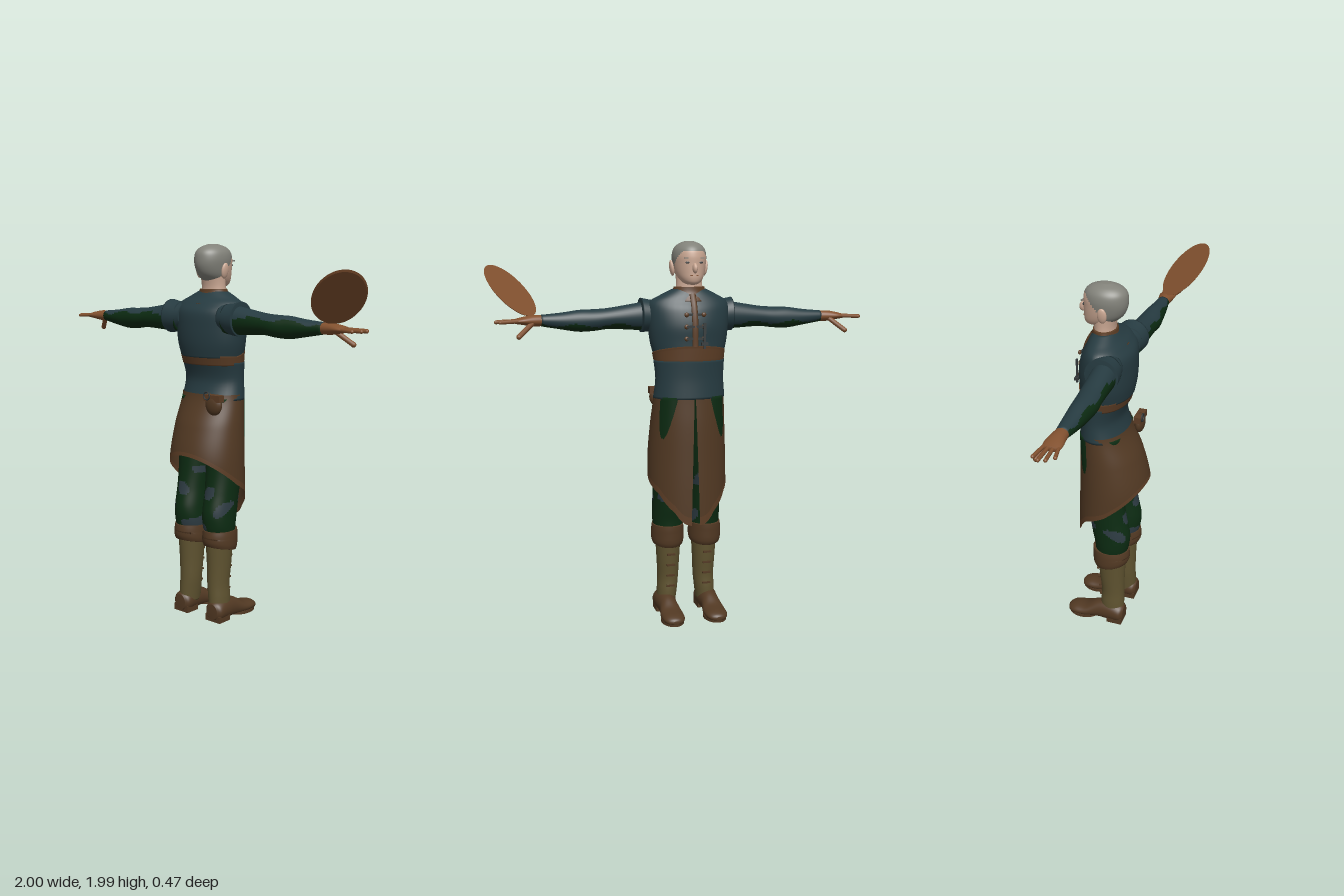
import * as THREE from 'three';
import { mergeVertices } from 'three/addons/utils/BufferGeometryUtils.js';

const mat = (name, color) => new THREE.MeshStandardMaterial({ name, color, side: THREE.DoubleSide });

// Smooth skin over a grid of points; pick(point, v) chooses a material index per face.
function surface(f, nu, nv, pick = () => 0) {
  const pts = [], faces = [[], [], []], row = nu + 1;
  for (let j = 0; j <= nv; j++) for (let i = 0; i <= nu; i++) pts.push(f(i / nu, j / nv));
  for (let j = 0; j < nv; j++) for (let i = 0; i < nu; i++) {
    const a = j * row + i, b = a + 1, c = a + row, d = c + 1;
    const mid = pts[a].clone().add(pts[d]).multiplyScalar(0.5);
    faces[pick(mid, (j + 0.5) / nv)].push(a, b, d, a, d, c);
  }
  let geo = new THREE.BufferGeometry().setFromPoints(pts);
  geo.setIndex(faces.flat());
  let start = 0;
  faces.forEach((list, k) => {
    if (list.length) geo.addGroup(start, list.length, k);
    start += list.length;
  });
  geo = mergeVertices(geo, 1e-5);
  geo.computeVertexNormals();
  return geo;
}

// Interpolate rows of numbers smoothly; t runs 0..1 over the rows.
function blend(rows, t) {
  const n = rows.length - 1, s = Math.min(t * n, n - 1e-6), i = Math.floor(s), k = s - i;
  const at = j => rows[Math.max(0, Math.min(n, j))];
  return rows[0].map((_, q) => {
    const [a, b, c, d] = [at(i - 1)[q], at(i)[q], at(i + 1)[q], at(i + 2)[q]];
    return b + 0.5 * k * (c - a + k * (2 * a - 5 * b + 4 * c - d + k * (3 * (b - c) + d - a)));
  });
}

// Closed tube through elliptical rings [y, centreX, centreZ, radiusX, radiusZ], listed upwards.
function loft(rings, pick, nu = 40, steps = 6) {
  const nv = (rings.length - 1) * steps + 2;
  return surface((u, v) => {
    const j = Math.round(v * nv), cap = j === 0 || j === nv ? 0 : 1;
    const [y, cx, cz, rx, rz] = blend(rings, Math.max(0, Math.min(1, (j - 1) / (nv - 2))));
    const a = u === 1 ? 0 : u * Math.PI * 2;
    return new THREE.Vector3(cx + cap * rx * Math.sin(a), y, cz + cap * rz * Math.cos(a));
  }, nu, nv, pick);
}

// Move vertices by a rule.
function warp(geo, rule) {
  const p = geo.attributes.position, v = new THREE.Vector3();
  for (let i = 0; i < p.count; i++) {
    rule(v.fromBufferAttribute(p, i));
    p.setXYZ(i, v.x, v.y, v.z);
  }
  geo.computeVertexNormals();
  return geo;
}

export function createModel() {
  const teal = mat('teal cloth', 0x263b41), green = mat('green cloth', 0x0c2b12);
  const slate = mat('slate patch', 0x2d3b42), brown = mat('brown leather', 0x523923);
  const belt = mat('russet leather', 0x5c3d25), tan = mat('tan', 0x82512f);
  const olive = mat('olive boot', 0x5f5330), hair = mat('grey hair', 0x82827a);
  const skin = mat('skin', 0xcca994), metal = mat('dark metal', 0x34393a);

  const model = new THREE.Group(), body = new THREE.Group();
  body.name = 'body';
  body.position.x = -0.018;
  model.add(body);
  const add = (parent, name, geo, material, x = 0, y = 0, z = 0) => {
    const m = new THREE.Mesh(geo, material);
    m.name = name;
    m.position.set(x, y, z);
    parent.add(m);
    return m;
  };
  const box = (w, h, d) => new THREE.BoxGeometry(w, h, d);
  const ball = (x, y, z) => new THREE.SphereGeometry(1, 20, 14).scale(x, y, z);

  // Torso
  add(body, 'vest', loft([[1.41, 0, -0.037, 0.185, 0.132], [1.48, 0, -0.031, 0.202, 0.138],
    [1.56, 0, -0.03, 0.211, 0.14], [1.64, 0, -0.025, 0.215, 0.128], [1.685, 0, -0.03, 0.2, 0.1],
    [1.715, 0, -0.04, 0.15, 0.077], [1.745, 0, -0.045, 0.09, 0.055]]), teal);
  add(body, 'waist', loft([[1.19, 0, -0.045, 0.19, 0.127], [1.29, 0, -0.056, 0.18, 0.111],
    [1.385, 0, -0.045, 0.187, 0.125]]), teal);
  add(body, 'chestBelt', warp(loft([[1.37, 0, -0.043, 0.183, 0.124], [1.42, 0, -0.04, 0.192, 0.135]]),
    p => { if (p.y > 1.395) p.y -= Math.min(0, p.z + 0.02) * 0.28; }), belt);
  add(body, 'collar', loft([[1.685, 0, -0.033, 0.105, 0.104], [1.725, 0, -0.045, 0.088, 0.068],
    [1.757, 0, -0.047, 0.08, 0.06]]), belt);

  // Skirt: open at the front, hem low at the slit and high behind
  const hem = [[-1, 0.905], [-0.5, 0.83], [0, 0.755], [0.6, 0.69], [0.9, 0.6], [1, 0.53]];
  const hemAt = c => {
    const i = Math.max(1, hem.findIndex(h => h[0] >= c - 1e-9)), [a, b] = [hem[i - 1], hem[i]];
    return THREE.MathUtils.lerp(a[1], b[1], (c - a[0]) / (b[0] - a[0]));
  };
  const cut = [[1.22, 0.078, -0.168, 0.186], [1.05, 0.148, -0.177, 0.198], [0.88, 0.19, -0.182, 0.208],
    [0.71, 0.185, -0.187, 0.21], [0.54, 0.18, -0.19, 0.21]];
  add(body, 'skirt', surface((u, v) => {
    const side = u * 2 - 1;
    const y = THREE.MathUtils.lerp(1.22, hemAt(-Math.cos(side * Math.PI)), v);
    const [, back, front, rx] = blend(cut, (1.22 - y) / 0.68);
    const slit = 0.02 + 0.13 * Math.max(0, 1.2 - y), a = side * (Math.PI - slit);
    return new THREE.Vector3(rx * Math.sin(a), y, (back + front) / 2 + (back - front) / 2 * Math.cos(a));
  }, 72, 32, (p, v) => v > 0.95 ? 1 : 0).scale(1, 1, 1), [brown, belt]);

  // Front fastening
  const strap = new THREE.CatmullRomCurve3([[1.72, -0.115], [1.66, -0.148], [1.57, -0.169], [1.46, -0.172]]
    .map(([y, z]) => new THREE.Vector3(0, y, z)));
  add(body, 'chestStrap', new THREE.TubeGeometry(strap, 20, 0.008, 8).scale(2, 1, 1), belt);
  for (const y of [1.62, 1.56, 1.5]) {
    add(body, 'toggle', box(0.09, 0.012, 0.012), metal, 0, y, -0.171 + Math.max(0, y - 1.56) * 0.2);
    for (const s of [-1, 1]) add(body, 'toggleEnd', ball(0.012, 0.012, 0.008), belt, s * 0.045, y, -0.168);
  }
  add(body, 'pin', box(0.012, 0.13, 0.008), metal, -0.045, 1.515, -0.185);
  add(body, 'pinGuard', box(0.035, 0.015, 0.02), metal, -0.045, 1.475, -0.185);

  // Pouch on the back of the hip
  add(body, 'pouch', ball(0.052, 0.055, 0.026), brown, 0.128, 1.175, 0.095);
  add(body, 'pouchFlap', box(0.105, 0.035, 0.04), belt, 0.128, 1.21, 0.095);
  add(body, 'pouchLoop', new THREE.TorusGeometry(0.02, 0.004, 6, 16), metal, 0.1, 1.222, 0.118);

  // Head
  const head = new THREE.Group();
  head.name = 'head';
  body.add(head);
  add(head, 'neck', loft([[1.7, 0, -0.047, 0.075, 0.056], [1.77, 0, -0.048, 0.068, 0.054],
    [1.84, 0, -0.04, 0.07, 0.06]]), skin);
  add(head, 'skull', loft([[1.768, 0, -0.105, 0.022, 0.03], [1.78, 0, -0.09, 0.045, 0.058],
    [1.8, 0, -0.072, 0.062, 0.082], [1.83, 0, -0.055, 0.075, 0.1], [1.87, 0, -0.046, 0.083, 0.11],
    [1.91, 0, -0.044, 0.086, 0.112], [1.945, 0, -0.043, 0.078, 0.103], [1.97, 0, -0.043, 0.055, 0.075],
    [1.985, 0, -0.043, 0.02, 0.027]],
  p => p.y > 1.795 + Math.max(0, Math.min(0.14, -p.z * 1.08)) ? 1 : 0, 64, 10), [skin, hair]);
  add(head, 'nose', ball(0.013, 0.026, 0.021), skin, 0, 1.85, -0.161).rotation.x = 0.25;
  add(head, 'mouth', box(0.04, 0.005, 0.008), tan, 0, 1.814, -0.15);
  for (const s of [-1, 1]) {
    add(head, 'ear', ball(0.012, 0.04, 0.024), skin, s * 0.088, 1.85, -0.035).rotation.z = -s * 0.15;
    add(head, 'eye', ball(0.013, 0.006, 0.004), metal, s * 0.033, 1.878, -0.147);
    add(head, 'brow', box(0.034, 0.006, 0.008), hair, s * 0.036, 1.9, -0.146).rotation.y = s * 0.35;
  }

  // Limbs, built for the left and mirrored
  for (const s of [1, -1]) {
    const arm = new THREE.Group(), leg = new THREE.Group();
    arm.name = s > 0 ? 'leftArm' : 'rightArm';
    leg.name = s > 0 ? 'leftLeg' : 'rightLeg';
    arm.scale.x = leg.scale.x = s;
    body.add(arm, leg);
    const along = rings => rings.map(([x, y, z, ry, rz]) => [x, -y, z, ry, rz]);
    const toX = geo => geo.rotateZ(-Math.PI / 2);

    add(arm, 'sleeve', toX(loft(along([[0.16, 1.61, 0.025, 0.077, 0.065], [0.25, 1.605, 0.025, 0.07, 0.063],
      [0.4, 1.597, 0.028, 0.054, 0.06], [0.48, 1.59, 0.03, 0.055, 0.06], [0.56, 1.587, 0.027, 0.055, 0.053],
      [0.65, 1.588, 0.025, 0.042, 0.045], [0.75, 1.592, 0.022, 0.029, 0.033]]),
    p => p.x + 1.6 + (p.z - 0.025) * 0.6 > 0.008 + 0.012 * Math.sin(p.y * 30) ? 1 : 0)), [teal, green]);
    add(arm, 'shoulderCap', toX(loft(along([[0.13, 1.615, 0.015, 0.07, 0.07], [0.19, 1.61, 0.015, 0.08, 0.08],
      [0.242, 1.612, 0.015, 0.088, 0.085]]))), teal);
    add(arm, 'palm', toX(loft(along([[0.73, 1.592, 0.022, 0.027, 0.03], [0.79, 1.592, 0.02, 0.028, 0.038],
      [0.84, 1.592, 0.02, 0.02, 0.045], [0.88, 1.59, 0.022, 0.012, 0.04]]))), tan);
    const finger = (name, a, b, r) => add(arm, name, new THREE.TubeGeometry(
      new THREE.LineCurve3(a, b), 4, r, 8), tan) && add(arm, name + 'Tip', ball(r, r, r), tan, b.x, b.y, b.z);
    [0.935, 0.965, 0.974, 0.955].forEach((tip, i) => finger('finger',
      new THREE.Vector3(0.85, 1.592, 0.05 - i * 0.02), new THREE.Vector3(tip, 1.588, 0.066 - i * 0.031), 0.009));
    finger('thumb', new THREE.Vector3(0.79, 1.585, 0), new THREE.Vector3(0.868, 1.518, -0.052), 0.013);

    add(leg, 'trouser', loft([[0.47, 0.1, 0.015, 0.078, 0.085], [0.53, 0.1, 0.02, 0.083, 0.094],
      [0.6, 0.1, 0.015, 0.083, 0.103], [0.7, 0.1, -0.002, 0.084, 0.1], [0.8, 0.098, -0.018, 0.09, 0.103],
      [0.95, 0.096, -0.03, 0.094, 0.11], [1.2, 0.09, -0.045, 0.088, 0.11]],
    p => p.y < 0.82 && Math.sin(p.x * 30 + p.y * 25) + Math.sin(p.y * 40 - p.x * 35 + p.z * 20) > 0.9 ? 1 : 0,
    56, 10), [green, slate]);
    add(leg, 'bootCuff', warp(loft([[0.395, 0.103, 0.018, 0.082, 0.09], [0.42, 0.103, 0.018, 0.087, 0.1],
      [0.47, 0.103, 0.016, 0.086, 0.102], [0.5, 0.102, 0.014, 0.083, 0.1]]),
    p => { if (p.y < 0.45) p.y += 0.2 * p.z; }), brown);
    add(leg, 'bootShaft', loft([[0.06, 0.11, 0.025, 0.05, 0.065], [0.13, 0.105, 0.024, 0.054, 0.066],
      [0.2, 0.1, 0.025, 0.056, 0.064], [0.3, 0.1, 0.02, 0.061, 0.07], [0.42, 0.1, 0.018, 0.068, 0.078]]), olive);
    for (const y of [0.16, 0.22, 0.28, 0.34]) add(leg, 'bootLace', box(0.045, 0.009, 0.012), brown, 0.1, y, -0.041 - (y - 0.16) * 0.1);
    // Foot runs from heel to toe, flattened underneath
    const foot = loft([[-0.097, 0, 0.055, 0.035, 0.042], [-0.075, 0, 0.055, 0.056, 0.055],
      [-0.02, 0, 0.058, 0.056, 0.062], [0.06, 0, 0.05, 0.05, 0.055], [0.13, 0, 0.032, 0.06, 0.036],
      [0.19, 0, 0.028, 0.057, 0.028], [0.222, 0, 0.024, 0.04, 0.02], [0.235, 0, 0.022, 0.014, 0.01]])
      .rotateX(-Math.PI / 2);
    add(leg, 'foot', warp(foot, p => { p.y = Math.max(p.y, 0.014); }), brown, 0.117);
    add(leg, 'heel', box(0.1, 0.036, 0.085), brown, 0.117, 0.018, 0.049);
    add(leg, 'sole', new THREE.CylinderGeometry(1, 1, 0.016, 28).scale(0.06, 1, 0.085), brown, 0.117, 0.008, -0.147);
  }

  // Tilted disc above the left hand
  add(model, 'disc', warp(new THREE.CylinderGeometry(0.126, 0.121, 0.006, 48),
    p => { p.y += 0.7 * (p.x + p.z); }), tan, 0.872, 1.738, 0.107);
  return model;
}
